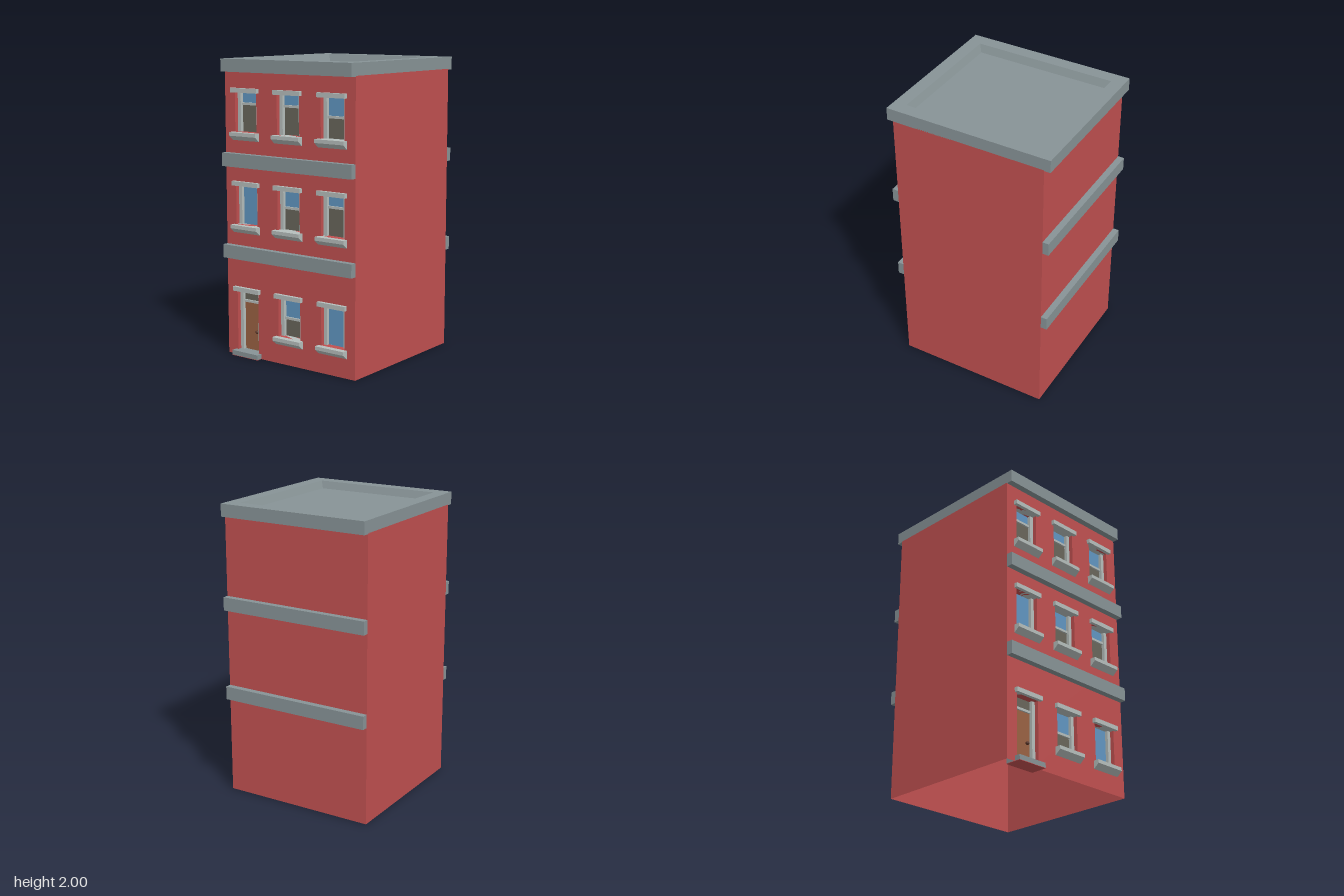
import * as THREE from 'three';

const mat = (name, color, side = THREE.FrontSide) =>
  Object.assign(new THREE.MeshStandardMaterial({ color, side }), { name });

export function createModel() {
  const M = {
    brick: mat('red brick', 0xc05050, THREE.DoubleSide),
    stone: mat('grey stone', 0x879396),
    trim: mat('pale trim', 0xb6bebc),
    glass: mat('blue glass', 0x6196c2),
    blind: mat('dark blind', 0x69665b),
    wood: mat('door wood', 0x9a6243),
    knob: mat('knob bronze', 0x5c3527),
  };
  const model = new THREE.Group();
  model.name = 'townhouse';
  const HALF = 0.533, OUT = 0.576, BACK = 0.465;

  const add = (parent, name, geometry, material) => {
    const mesh = new THREE.Mesh(geometry, material);
    mesh.name = name;
    parent.add(mesh);
    return mesh;
  };
  // Box given by its limits on each axis
  const block = (parent, name, material, x0, x1, y0, y1, z0, z1) => {
    const g = new THREE.BoxGeometry(x1 - x0, y1 - y0, z1 - z0);
    g.translate((x0 + x1) / 2, (y0 + y1) / 2, (z0 + z1) / 2);
    return add(parent, name, g, material);
  };
  // Keep only some faces of a box (0 +x, 1 -x, 2 +y, 3 -y, 4 +z, 5 -z)
  const keepFaces = (mesh, faces) => {
    const all = Array.from(mesh.geometry.index.array);
    mesh.geometry.setIndex(faces.flatMap(f => all.slice(f * 6, f * 6 + 6)));
    mesh.geometry.clearGroups();
  };

  // Openings: centre x, bottom, top, and the height of the sash rail
  const COLS = [-0.356, 0, 0.356];
  const ROWS = [
    { sill: 0.185, head: 0.445, rails: ['door', 0.307, null] },
    { sill: 0.9, head: 1.163, rails: [null, 1.045, 1.085] },
    { sill: 1.52, head: 1.78, rails: [1.705, 1.705, 1.655] },
  ];
  const openings = ROWS.flatMap(r => COLS.map((x, i) => {
    const door = r.rails[i] === 'door';
    return { x, door, y0: door ? 0.035 : r.sill, y1: r.head, rail: door ? 0.372 : r.rails[i] };
  }));
  const W = 0.092, INNER = 0.066;

  // Walls: an open shell with a pierced front
  const shell = block(model, 'sideAndBackWalls', M.brick, -HALF, HALF, 0, 1.92, -HALF, HALF);
  keepFaces(shell, [0, 1, 5]);
  const rect = (s, x0, x1, y0, y1) =>
    s.moveTo(x0, y0).lineTo(x1, y0).lineTo(x1, y1).lineTo(x0, y1).closePath();
  const front = rect(new THREE.Shape(), -HALF, HALF, 0, 1.92);
  for (const o of openings) front.holes.push(rect(new THREE.Path(), o.x - W, o.x + W, o.y0, o.y1));
  add(model, 'frontWall', new THREE.ShapeGeometry(front).translate(0, 0, HALF), M.brick);

  // Stone bands on front and back
  for (const y of [0.67, 1.29]) {
    block(model, 'frontBand', M.stone, -HALF, HALF, y, y + 0.09, HALF, OUT);
    block(model, 'backBand', M.stone, -HALF, HALF, y, y + 0.09, -OUT, -HALF);
  }

  // Cornice and sunken roof, lofted through rectangles: half width, half depth, height
  const rings = [
    [0, 0, 1.915], [HALF, OUT, 1.915], [HALF, OUT, 2],
    [0.443, 0.487, 2], [0.42, 0.465, 1.95], [0, 0, 1.95],
  ].map(([w, d, y]) => [[-w, y, d], [w, y, d], [w, y, -d], [-w, y, -d]]);
  const pos = [];
  for (let k = 0; k < rings.length - 1; k++) {
    for (let i = 0; i < 4; i++) {
      const j = (i + 1) % 4, a = rings[k][i], b = rings[k][j];
      const c = rings[k + 1][j], d = rings[k + 1][i];
      if (k > 0) pos.push(...a, ...b, ...c);
      if (k === 0) pos.push(...a, ...c, ...d);
      else if (k < rings.length - 2) pos.push(...a, ...c, ...d);
    }
  }
  const roof = new THREE.BufferGeometry();
  roof.setAttribute('position', new THREE.Float32BufferAttribute(pos, 3));
  roof.computeVertexNormals();
  add(model, 'corniceAndRoof', roof, M.stone);

  // Sill with a chamfered underside; profile drawn in z and y, top at 0
  const sillShape = new THREE.Shape([
    [0.47, -0.055], [0.535, -0.055], [0.573, -0.024], [0.573, 0], [0.47, 0],
  ].map(p => new THREE.Vector2(...p)));
  const sillGeo = new THREE.ExtrudeGeometry(sillShape, { depth: 0.226, bevelEnabled: false });
  sillGeo.rotateY(-Math.PI / 2).translate(0.113, 0, 0);

  // Windows and door
  for (const o of openings) {
    const g = new THREE.Group();
    g.name = o.door ? 'entrance' : 'window';
    g.position.x = o.x;
    model.add(g);
    const { y0, y1, rail } = o;

    keepFaces(block(g, 'reveal', M.brick, -W, W, y0, y1, BACK, HALF), [0, 1, 2, 3]);
    block(g, 'lintel', M.trim, -0.111, 0.111, y1, y1 + 0.03, 0.47, 0.557);
    for (const s of [-1, 1]) {
      const m = s * (W + INNER) / 2, h = (W - INNER) / 2;
      block(g, 'jamb', M.trim, m - h, m + h, y0, y1, 0.47, 0.505);
    }
    const pane = (name, material, a, b) =>
      block(g, name, material, -INNER, INNER, a, b, 0.475, 0.483);
    if (rail) block(g, 'rail', M.trim, -INNER, INNER, rail - 0.008, rail + 0.008, 0.472, 0.495);

    if (o.door) {
      pane('doorLeaf', M.wood, y0, rail);
      pane('transom', M.blind, rail, y1);
      const knob = add(g, 'doorKnob', new THREE.SphereGeometry(0.012, 12, 8), M.knob);
      knob.position.set(0.04, 0.165, 0.49);
      block(g, 'doorstep', M.stone, -0.111, 0.111, 0.003, y0, 0.46, 0.573);
      block(g, 'doorstepUnderside', M.brick, -0.111, 0.111, 0, 0.003, 0.46, 0.573);
    } else {
      if (rail) pane('blind', M.blind, y0, rail);
      pane('glass', M.glass, rail ?? y0, y1);
      add(g, 'sill', sillGeo, M.trim).position.y = y0;
    }
  }
  return model;
}
